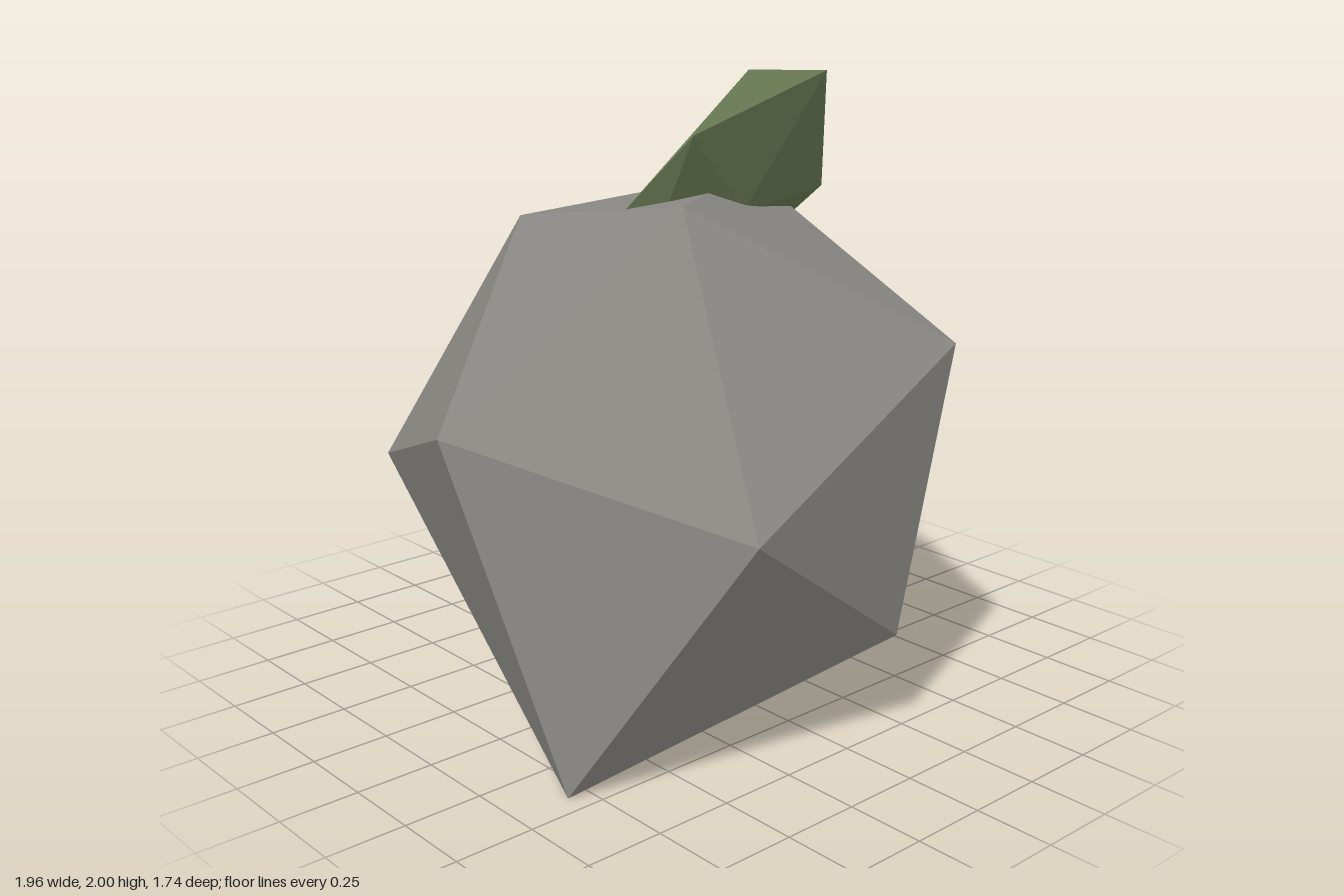
import * as THREE from 'three';
import { ConvexGeometry } from 'three/addons/geometries/ConvexGeometry.js';

// Corners of the boulder: a warped icosahedron
const corners = {
  A: [-0.98, 1.02, 0.07], B: [-0.32, 1.64, 0.36], D: [0.35, 1.22, 0.82],
  E: [-0.5, 0.8, 0.87], F: [-0.82, 0, 0.43], G: [0.14, 0.35, 0.81],
  H: [0.28, 0.14, -0.29], I: [0.9, 0.94, 0.07], J: [0.45, 1.62, -0.17],
  K: [-0.23, 1.5, -0.54], L: [0.34, 1.13, -0.66], M: [-0.57, 0.68, -0.87],
};
const faces = 'ABE BED AEF EFG EDG DGI BDJ DIJ ABK BJK JKL IJL IHL GIH FGH FHM HLM KLM AKM AFM';

// Triangles named by corner, each turned to face away from the middle
function facetedGeometry(points, faceList, middle) {
  const positions = [];
  for (const face of faceList.split(' ')) {
    const [a, b, c] = [...face].map((k) => new THREE.Vector3(...points[k]));
    const normal = b.clone().sub(a).cross(c.clone().sub(a));
    const outward = normal.dot(a.clone().sub(middle)) > 0;
    for (const p of outward ? [a, b, c] : [a, c, b]) positions.push(p.x, p.y, p.z);
  }
  const geometry = new THREE.BufferGeometry();
  geometry.setAttribute('position', new THREE.Float32BufferAttribute(positions, 3));
  geometry.computeVertexNormals();
  return geometry;
}

const hull = (points) => new ConvexGeometry(points.map((p) => new THREE.Vector3(...p)));

export function createModel() {
  const group = new THREE.Group();
  const stone = new THREE.MeshStandardMaterial({ color: 0x8b8984, flatShading: true });
  stone.name = 'grey stone';
  const moss = new THREE.MeshStandardMaterial({ color: 0x71835a, flatShading: true });
  moss.name = 'moss green';

  const add = (name, geometry, material) => {
    const mesh = new THREE.Mesh(geometry, material);
    mesh.name = name;
    group.add(mesh);
  };

  // Main rock
  add('boulder', facetedGeometry(corners, faces, new THREE.Vector3(0, 0.85, 0)), stone);

  // Small rock sunk into the boulder's left side
  add('sideRock', hull([
    [0.98, 0.62, -0.34], [0.94, 0.74, 0], [0.88, 1.04, -0.13], [0.71, 0.47, -0.16],
    [0.59, 0.91, -0.31], [0.52, 0.63, -0.36], [0.72, 1.06, 0], [0.65, 1.09, -0.12],
    [0.6, 0.74, 0.04], [0.45, 0.56, -0.15],
  ]), stone);

  // Thin leaning moss slab on top
  add('mossPatch', hull([
    [0.29, 1.99, 0.33], [0.04, 2, 0.25], [-0.17, 1.82, 0.24], [0.43, 1.86, 0.16],
    [0.55, 1.59, 0.07], [0.47, 1.5, 0.01], [-0.29, 1.57, 0.04], [0.08, 1.62, -0.02],
    [0.4, 1.62, -0.01], [0.1, 1.56, 0.17], [-0.18, 1.5, 0.08], [0.1, 1.43, 0.02],
  ]), moss);

  return group;
}
